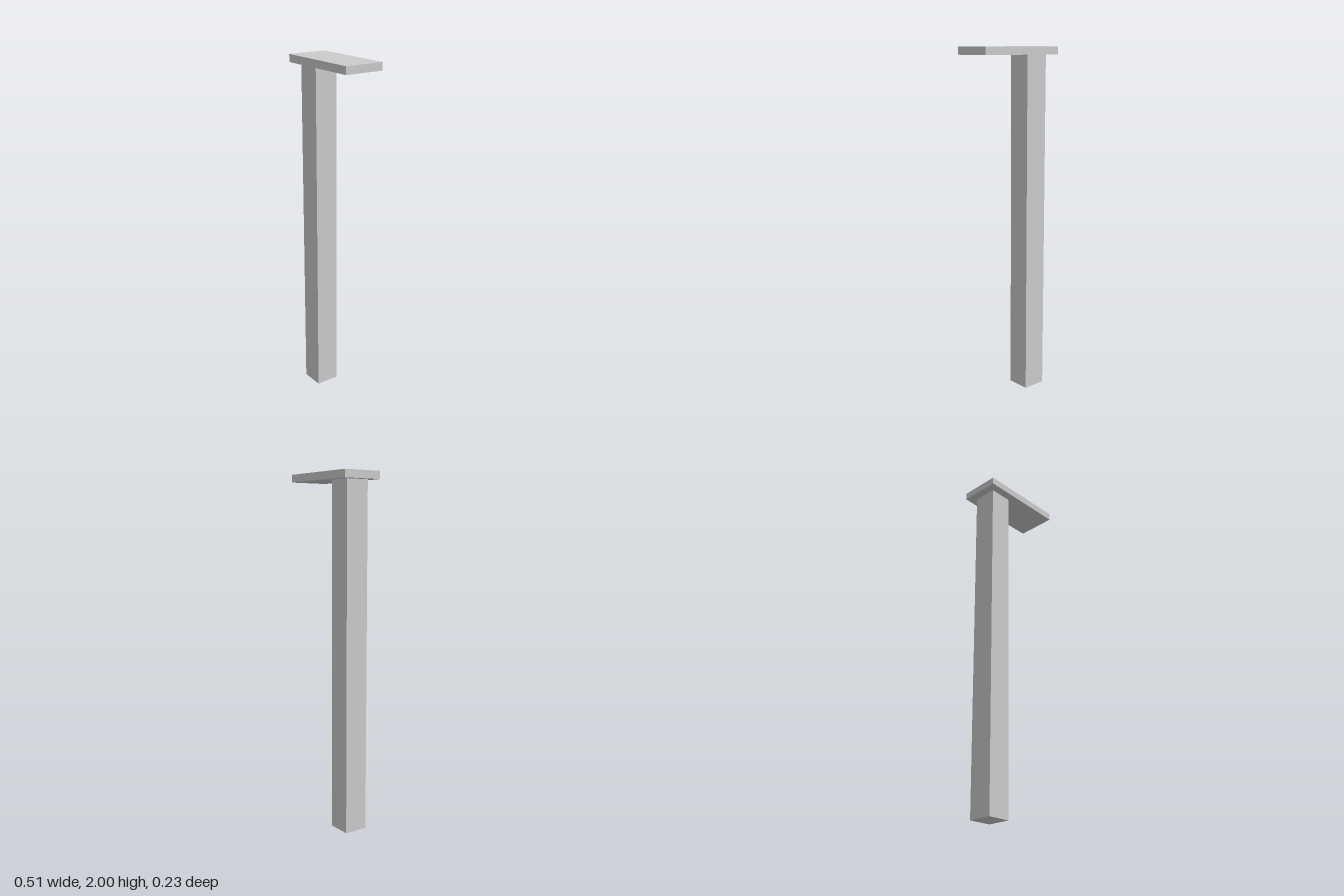
import * as THREE from 'three';

export function createModel() {
  const group = new THREE.Group();
  const material = new THREE.MeshStandardMaterial({ color: 0xcccccc, flatShading: true });

  const addBox = (name, [w, h, d], [x, y, z]) => {
    const mesh = new THREE.Mesh(new THREE.BoxGeometry(w, h, d), material);
    mesh.name = name;
    mesh.position.set(x, y, z);
    group.add(mesh);
  };

  const capHeight = 0.043;
  const postHeight = 2 - capHeight;

  // Square post, offset towards one end of the cap
  addBox('post', [0.137, postHeight, 0.137], [-0.142, postHeight / 2, 0]);

  // Flat cap slab
  addBox('cap', [0.513, capHeight, 0.23], [0, 2 - capHeight / 2, 0]);

  return group;
}
